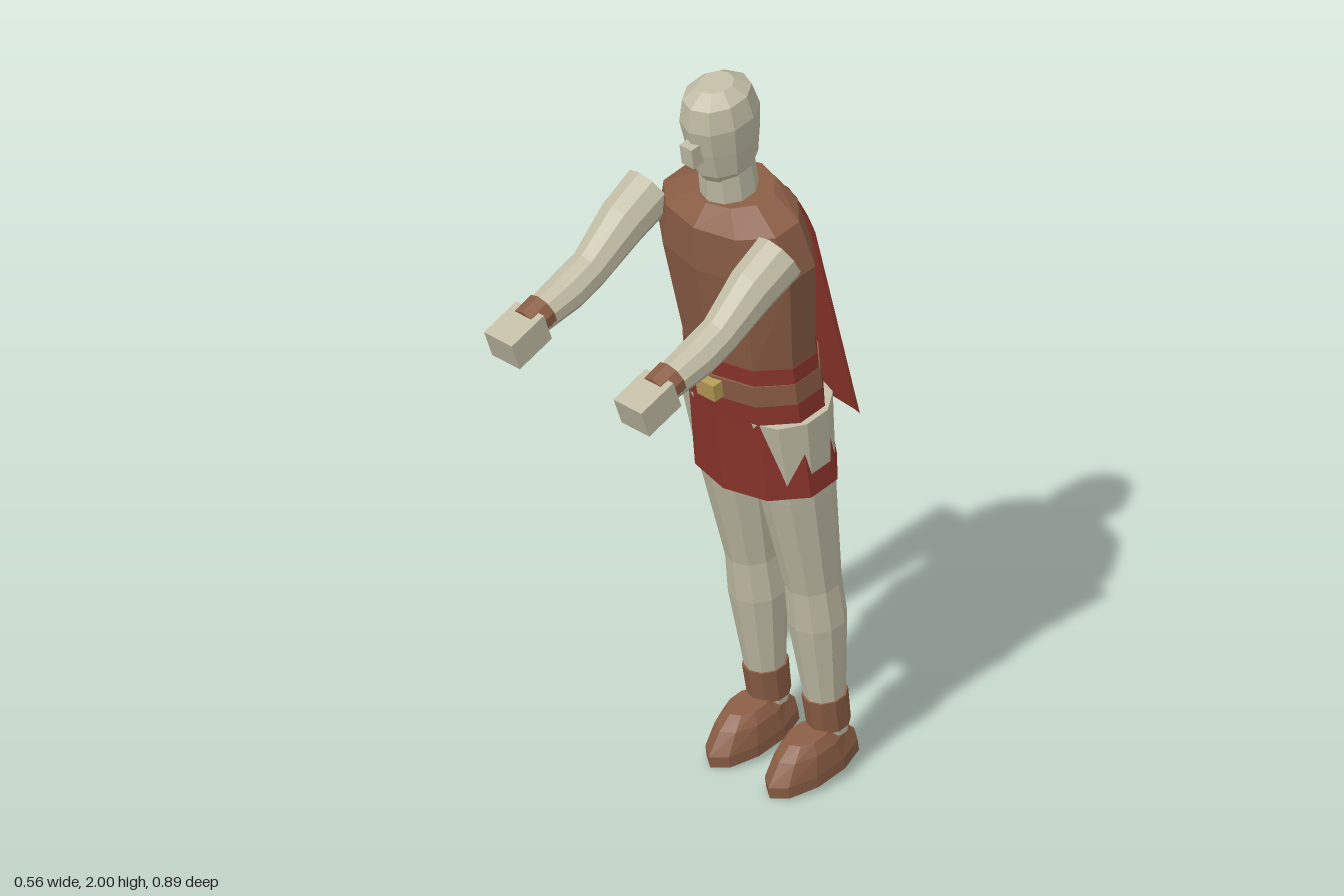
import * as THREE from 'three';

const mat = (name, color) => {
  const m = new THREE.MeshStandardMaterial({ color, flatShading: true, side: THREE.DoubleSide });
  m.name = name;
  return m;
};

// Lofts rings [y, rx, rz, z = 0, x = 0, tilt = 0] into a faceted, capped solid
function loft(rings, n = 10) {
  const pts = rings.map(([y, rx, rz, z = 0, x = 0, t = 0]) =>
    Array.from({ length: n }, (_, i) => {
      const a = (i / n) * Math.PI * 2, d = rz * Math.cos(a);
      return [x + rx * Math.sin(a), y - d * Math.sin(t), z + d * Math.cos(t)];
    }));
  const pos = [];
  const tri = (...corners) => corners.forEach(c => pos.push(...c));
  const centre = ([y, , , z = 0, x = 0]) => [x, y, z];
  const last = rings.length - 1;
  for (let i = 0; i < n; i++) {
    const j = (i + 1) % n;
    for (let r = 0; r < last; r++) {
      tri(pts[r][i], pts[r][j], pts[r + 1][j]);
      tri(pts[r][i], pts[r + 1][j], pts[r + 1][i]);
    }
    tri(centre(rings[0]), pts[0][j], pts[0][i]);
    tri(centre(rings[last]), pts[last][i], pts[last][j]);
  }
  const g = new THREE.BufferGeometry();
  g.setAttribute('position', new THREE.Float32BufferAttribute(pos, 3));
  g.computeVertexNormals();
  return g;
}

// Open sheet from rows of points
function sheet(rows) {
  const pos = [];
  for (let r = 0; r < rows.length - 1; r++) {
    for (let c = 0; c < rows[r].length - 1; c++) {
      const [a, b, d, e] = [rows[r][c], rows[r][c + 1], rows[r + 1][c], rows[r + 1][c + 1]];
      pos.push(...a, ...b, ...d, ...b, ...e, ...d);
    }
  }
  const g = new THREE.BufferGeometry();
  g.setAttribute('position', new THREE.Float32BufferAttribute(pos, 3));
  g.computeVertexNormals();
  return g;
}

export function createModel() {
  const skin = mat('pale skin', 0xc0bca5);
  const leather = mat('brown leather', 0x8a5d45);
  const cloth = mat('red cloth', 0x8a342b);
  const gold = mat('gold', 0xb39a55);

  const model = new THREE.Group();
  model.name = 'figure';
  const add = (parent, name, geometry, material, x = 0, y = 0, z = 0) => {
    const m = new THREE.Mesh(geometry, material);
    m.name = name;
    m.position.set(x, y, z);
    parent.add(m);
    return m;
  };

  // Body leans forward as one piece
  const body = new THREE.Group();
  body.name = 'body';
  body.position.set(0, 0.035, -0.365);
  body.rotation.x = 0.15;
  model.add(body);

  // Head, neck and nose
  add(body, 'head', loft([
    [1.725, 0.06, 0.07], [1.75, 0.07, 0.085], [1.82, 0.08, 0.098], [1.89, 0.088, 0.105],
    [1.95, 0.077, 0.09], [1.978, 0.043, 0.047],
  ]), skin);
  add(body, 'neck', loft([[1.62, 0.07, 0.074], [1.76, 0.067, 0.07]]), skin);
  add(body, 'nose', new THREE.BoxGeometry(0.04, 0.055, 0.035), skin, 0, 1.828, 0.104);

  // Torso, skirt and belt
  add(body, 'torso', loft([
    [1.12, 0.183, 0.122], [1.22, 0.194, 0.128], [1.5, 0.233, 0.14],
    [1.62, 0.198, 0.13], [1.665, 0.11, 0.095, -0.015],
  ]), leather);
  add(body, 'skirt', loft([[0.845, 0.207, 0.146], [1.05, 0.2, 0.136], [1.225, 0.197, 0.13]]), cloth);
  add(body, 'belt', loft([[1.12, 0.199, 0.137], [1.18, 0.199, 0.137]]), leather);
  add(body, 'buckle', new THREE.BoxGeometry(0.06, 0.046, 0.03), gold, 0, 1.15, 0.146);

  // Legs, ankle cuffs and shoes
  for (const side of [1, -1]) {
    const leg = new THREE.Group();
    leg.name = side > 0 ? 'leftLeg' : 'rightLeg';
    leg.position.x = side * 0.1;
    body.add(leg);
    add(leg, 'legSkin', loft([
      [0.08, 0.047, 0.047], [0.19, 0.051, 0.052], [0.41, 0.073, 0.072, -0.008],
      [0.52, 0.068, 0.07, -0.01], [0.82, 0.093, 0.096], [1.065, 0.112, 0.115],
    ]), skin);
    add(leg, 'ankleCuff', loft([[0.1, 0.053, 0.054], [0.19, 0.056, 0.057]]), leather);
    add(leg, 'shoe', loft([
      [0, 0.067, 0.146, 0.07], [0.03, 0.067, 0.146, 0.07],
      [0.08, 0.06, 0.105, 0.068], [0.108, 0.044, 0.062, 0.07],
    ]), leather);
  }

  // Arms reaching forward, with wrist cuffs and block hands
  for (const side of [1, -1]) {
    const arm = new THREE.Group();
    arm.name = side > 0 ? 'leftArm' : 'rightArm';
    arm.position.x = side * 0.2175;
    model.add(arm);
    add(arm, 'armSkin', loft([
      [1.6, 0.065, 0.072, -0.065, 0, 2.08], [1.55, 0.062, 0.066, 0.03, 0, 2.08],
      [1.468, 0.05, 0.053, 0.14, 0, 2.03], [1.44, 0.052, 0.052, 0.21, 0, 1.93],
      [1.403, 0.042, 0.042, 0.335, 0, 1.9],
    ]), skin);
    add(arm, 'wristCuff', loft([
      [1.421, 0.046, 0.046, 0.295, 0, 1.92], [1.402, 0.045, 0.044, 0.35, 0, 1.92],
    ]), leather);
    add(arm, 'hand', new THREE.BoxGeometry(0.093, 0.08, 0.115), skin, 0, 1.385, 0.378).rotation.x = 0.35;
  }

  // Cape hanging from the shoulders down the back
  add(model, 'cape', sheet([
    [[-0.15, 1.65, -0.21], [-0.08, 1.66, -0.235], [0.01, 1.66, -0.24], [0.08, 1.66, -0.235], [0.14, 1.65, -0.215]],
    [[-0.185, 1.57, -0.235], [-0.1, 1.57, -0.28], [0.01, 1.57, -0.268], [0.1, 1.57, -0.28], [0.165, 1.57, -0.24]],
    [[-0.21, 1.01, -0.375], [-0.1, 0.97, -0.414], [0.03, 1.0, -0.404], [0.145, 1.0, -0.395], [0.2, 1.03, -0.355]],
  ]), cloth);

  return model;
}
